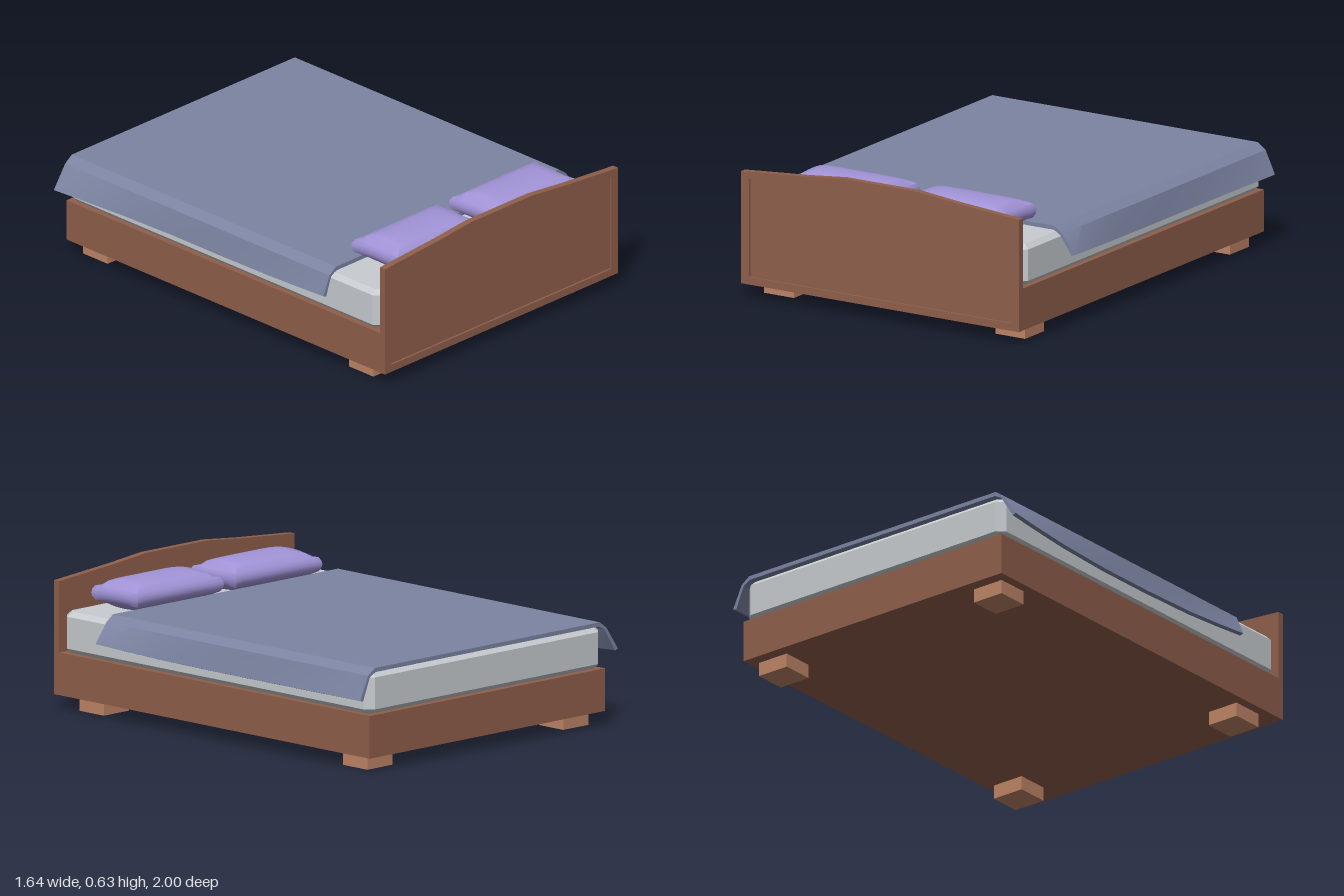
import * as THREE from 'three';
import { toCreasedNormals } from 'three/addons/utils/BufferGeometryUtils.js';

const paint = (name, color) => {
  const m = new THREE.MeshStandardMaterial({ color });
  m.name = name;
  return m;
};

const polygon = (pts) => new THREE.Shape(pts.map(([x, y]) => new THREE.Vector2(x, y)));

// Mirrors a right-hand run of points into a closed symmetric outline
const mirrored = (half) => [...half, ...half.map(([x, y]) => [-x, y]).reverse()];

// Closed solid through equal-length rings of points, capped at both ends
function loft(rings) {
  const n = rings[0].length;
  const pos = [];
  const tri = (a, b, c) => pos.push(...a, ...b, ...c);
  for (let i = 0; i < rings.length - 1; i++) {
    for (let j = 0; j < n; j++) {
      const k = (j + 1) % n;
      const [a, b, c, d] = [rings[i][j], rings[i][k], rings[i + 1][k], rings[i + 1][j]];
      tri(a, b, c);
      tri(a, c, d);
    }
  }
  // rings run out along one face and back along the other, so caps are strips
  const first = rings[0], last = rings[rings.length - 1];
  for (let j = 0; j < n / 2 - 1; j++) {
    const p = n - 1 - j;
    tri(first[j], first[p], first[p - 1]);
    tri(first[j], first[p - 1], first[j + 1]);
    tri(last[j], last[p - 1], last[p]);
    tri(last[j], last[j + 1], last[p - 1]);
  }
  const g = new THREE.BufferGeometry();
  g.setAttribute('position', new THREE.Float32BufferAttribute(pos, 3));
  g.computeVertexNormals();
  return toCreasedNormals(g, 0.35);
}

// Blanket: a thin sheet with flared, gently curving sides
function blanketGeometry() {
  const zs = [-1, -0.85, -0.6, -0.3, 0, 0.3, 0.5, 0.66];
  const rings = zs.map((z) => {
    const back = Math.max(0, (-z - 0.3) / 0.7) ** 1.6;
    const front = Math.max(0, (z - 0.1) / 0.56) ** 1.6;
    const xl = -0.775 - 0.05 * back - 0.015 * front;
    const xr = 0.78 + 0.022 * back + 0.04 * front;
    const y = 0.33 + 0.008 * back + 0.025 * front;
    return [
      [xl, y, z], [-0.752, 0.445, z], [-0.71, 0.475, z],
      [0.71, 0.475, z], [0.752, 0.445, z], [xr, y, z],
      [xr - 0.018, y - 0.006, z], [0.741, 0.437, z], [0.705, 0.456, z],
      [-0.705, 0.456, z], [-0.741, 0.437, z], [xl + 0.018, y - 0.006, z],
    ];
  });
  return loft(rings);
}

// Pillow: a box puffed up in the middle, with slightly pulled corners
function pillowGeometry() {
  const g = new THREE.BoxGeometry(2, 2, 2, 12, 4, 8);
  const p = g.attributes.position;
  for (let i = 0; i < p.count; i++) {
    const a = p.getX(i), c = p.getY(i), b = p.getZ(i);
    const puff = Math.sqrt((1 - a ** 6) * (1 - b * b));
    const tuck = 1 - 0.09 * c * c;
    p.setXYZ(i,
      a * (0.262 + 0.01 * b * b) * (1 - 0.04 * c * c),
      c * (0.032 + 0.038 * puff),
      b * (0.14 + 0.008 * a ** 4) * tuck);
  }
  return toCreasedNormals(g, 0.6);
}

export function createModel() {
  const bed = new THREE.Group();
  bed.name = 'bed';
  const wood = paint('brown wood', 0x8f5f4b);
  const lightWood = paint('light wood', 0xbf8466);
  const sheet = paint('mattress white', 0xc8ccd0);
  const blue = paint('blanket blue', 0x7c84a2);
  const lilac = paint('pillow lilac', 0xa294d8);

  const add = (name, geometry, material, x = 0, y = 0, z = 0) => {
    const mesh = new THREE.Mesh(geometry, material);
    mesh.name = name;
    mesh.position.set(x, y, z);
    bed.add(mesh);
    return mesh;
  };

  // Base and feet
  add('base', new THREE.BoxGeometry(1.485, 0.195, 1.97), wood, 0, 0.1625, -0.015);
  for (const x of [-0.617, 0.62]) {
    for (const z of [-0.865, 0.805]) {
      add('foot', new THREE.BoxGeometry(0.16, 0.066, 0.155), lightWood, x, 0.033, z);
    }
  }

  // Headboard: raised frame around a slightly sunken panel
  const outer = mirrored([[0.743, 0.065], [0.743, 0.586], [0.4, 0.613], [0.195, 0.634]]);
  const inner = mirrored([[0.7, 0.1], [0.7, 0.556], [0.4, 0.58], [0.195, 0.6]]);
  const flat = (depth) => ({ depth, bevelEnabled: false });
  const frame = polygon(outer);
  frame.holes.push(polygon(inner));
  add('headboardFrame', new THREE.ExtrudeGeometry(frame, flat(0.01)), wood, 0, 0, 0.99);
  add('headboardPanel', new THREE.ExtrudeGeometry(polygon(outer), flat(0.022)), wood, 0, 0, 0.968);

  // Mattress: cut corners and bevelled rims
  const w = 0.74, l = 0.975, cut = 0.035, bevel = 0.022;
  const mattress = new THREE.ExtrudeGeometry(polygon([
    [w - cut, -l], [w, -l + cut], [w, l - cut], [w - cut, l],
    [-w + cut, l], [-w, l - cut], [-w, -l + cut], [-w + cut, -l],
  ]), {
    depth: 0.146, bevelEnabled: true, bevelSegments: 1,
    bevelSize: bevel, bevelThickness: bevel, bevelOffset: -bevel,
  });
  mattress.rotateX(-Math.PI / 2);
  add('mattress', mattress, sheet, 0, 0.262 + bevel, -0.02);

  // Bedding
  add('blanket', blanketGeometry(), blue).material.side = THREE.DoubleSide;
  const pillow = pillowGeometry();
  add('rightPillow', pillow, lilac, -0.303, 0.52, 0.77);
  add('leftPillow', pillow, lilac, 0.318, 0.52, 0.77);

  return bed;
}
